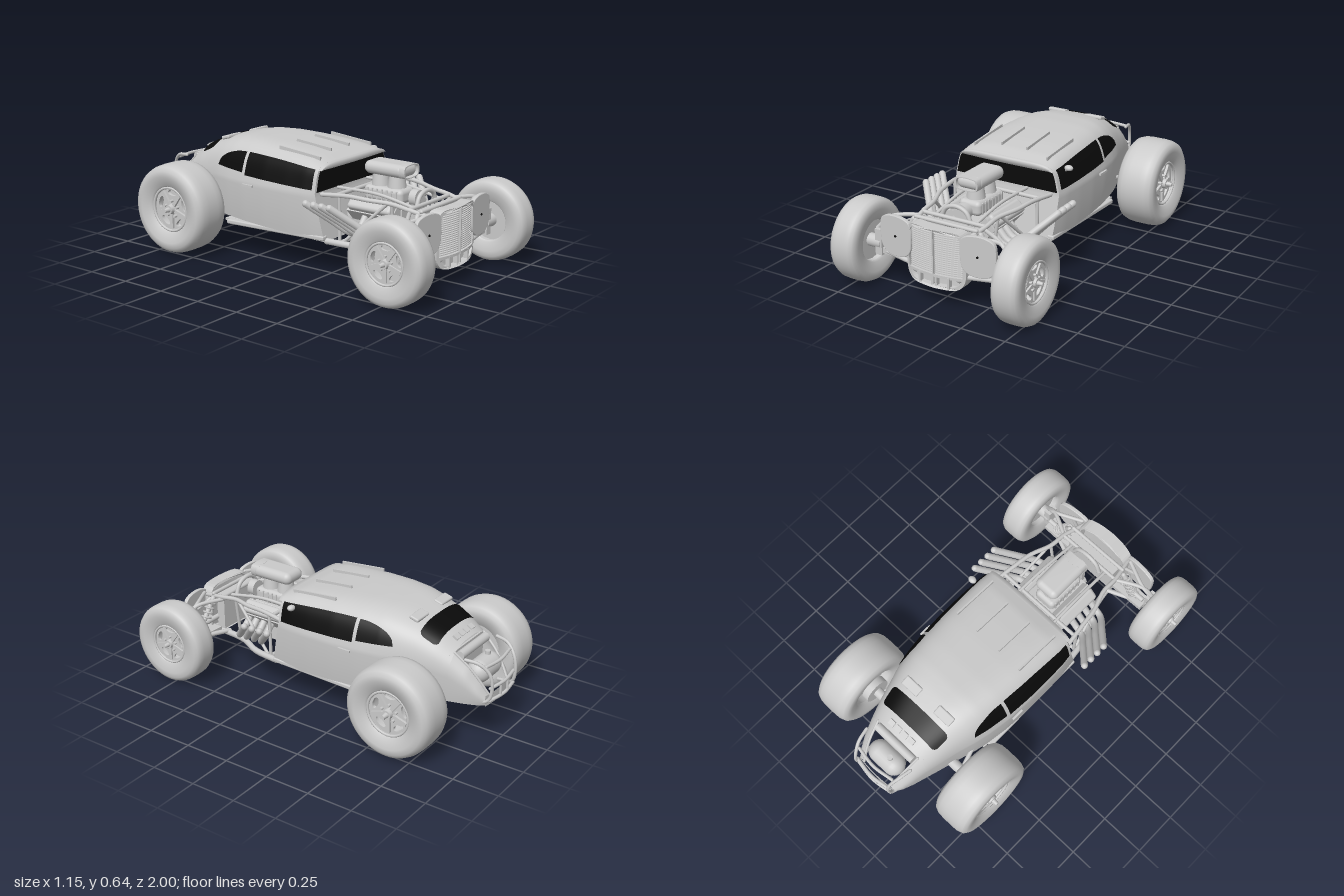
import * as THREE from 'three';
import { RoundedBoxGeometry } from 'three/addons/geometries/RoundedBoxGeometry.js';

const grey = new THREE.MeshStandardMaterial({ color: 0xcacaca, side: THREE.DoubleSide });
grey.name = 'primer grey';
const black = new THREE.MeshStandardMaterial({ color: 0x0a0a0a, side: THREE.DoubleSide });
black.name = 'glass black';

// body stations: z, half width, roof height, belt height, sill height, roundness, roof taper
const STATIONS = [
  [0.19, 0.318, 0.578, 0.43, 0.18, 6.5, 0.1], [0.12, 0.328, 0.6, 0.43, 0.184, 5.5, 0.13],
  [0, 0.334, 0.615, 0.43, 0.192, 5, 0.16], [-0.15, 0.334, 0.627, 0.43, 0.197, 4.6, 0.17],
  [-0.3, 0.325, 0.633, 0.43, 0.203, 4.2, 0.17], [-0.42, 0.308, 0.63, 0.43, 0.208, 3.8, 0.16],
  [-0.5, 0.29, 0.618, 0.43, 0.21, 3.4, 0.15], [-0.6, 0.258, 0.59, 0.42, 0.215, 3.1, 0.13],
  [-0.7, 0.23, 0.548, 0.4, 0.22, 2.8, 0.1], [-0.78, 0.205, 0.5, 0.37, 0.22, 2.6, 0.08],
  [-0.86, 0.18, 0.43, 0.32, 0.22, 2.5, 0.05], [-0.92, 0.155, 0.345, 0.27, 0.22, 2.4, 0.03],
  [-0.955, 0.13, 0.28, 0.24, 0.22, 2.4, 0],
];
function station(z) {
  let i = 0;
  while (i < STATIONS.length - 2 && z < STATIONS[i + 1][0]) i++;
  const a = STATIONS[i], b = STATIONS[i + 1];
  const k = Math.min(1, Math.max(0, (a[0] - z) / (a[0] - b[0])));
  return a.map((v, j) => v + (b[j] - v) * k);
}
// body surface: q = 0 roof centre, 0.7 belt, 1 sill; the sign gives the side
function bodyPoint(z, q) {
  const [, w, top, yb, sill, n, taper] = station(z), s = Math.sign(q), m = Math.abs(q);
  if (m > 0.7) {
    const k = (m - 0.7) / 0.3;
    return [s * w * (1 - 0.05 * k * k), yb + (sill - yb) * k, z + 0.05 * k * Math.max(0, 1 - (0.19 - z) / 0.15)];
  }
  const a = (Math.PI / 2) * (1 - m / 0.7), t = Math.max(0, Math.sin(a)) ** (2 / n);
  return [s * w * (1 - taper * t) * Math.max(0, Math.cos(a)) ** (2 / n), yb + (top - yb) * t, z];
}
function sideX(z, y) {
  const [, w, top, yb, , n, taper] = station(z), t = Math.min(1, Math.max(0, (y - yb) / (top - yb)));
  return w * (1 - taper * t) * (1 - t ** n) ** (1 / n);
}
// roof height at x, by bisection
function roofY(z, x) {
  let [, , hi, lo] = station(z);
  for (let i = 0; i < 24; i++) {
    const y = (lo + hi) / 2;
    if (sideX(z, y) > Math.abs(x)) lo = y; else hi = y;
  }
  return lo;
}
// grid surface from a function of u, v in 0..1
function surface(fn, nu, nv) {
  const pos = [], idx = [];
  for (let i = 0; i <= nu; i++) for (let j = 0; j <= nv; j++) pos.push(...fn(i / nu, j / nv));
  for (let i = 0; i < nu; i++) for (let j = 0; j < nv; j++) {
    const a = i * (nv + 1) + j, b = a + nv + 1;
    idx.push(a, a + 1, b, b, a + 1, b + 1);
  }
  const g = new THREE.BufferGeometry();
  g.setAttribute('position', new THREE.Float32BufferAttribute(pos, 3));
  g.setIndex(idx);
  g.computeVertexNormals();
  return g;
}
function add(parent, name, geo, p = [0, 0, 0], r = [0, 0, 0], mat = grey) {
  const m = new THREE.Mesh(geo, mat);
  m.name = name;
  m.position.set(...p);
  m.rotation.set(...r);
  parent.add(m);
  return m;
}
const box = (x, y, z) => new THREE.BoxGeometry(x, y, z);
const cyl = (r, h, r2 = r) => new THREE.CylinderGeometry(r, r2, h, 20);
const HALF = Math.PI / 2;
function tube(parent, name, pts, r = 0.011, s = 1) {
  const c = new THREE.CatmullRomCurve3(pts.map(p => new THREE.Vector3(p[0] * s, p[1], p[2])), false, 'centripetal');
  add(parent, name, new THREE.TubeGeometry(c, pts.length > 2 ? 24 : 1, r, 10));
  for (const p of [pts[0], pts[pts.length - 1]]) add(parent, name + 'End', new THREE.SphereGeometry(r, 10, 6), [p[0] * s, p[1], p[2]]);
}
// closed smooth outline mirrored about x = 0
function outline(half, k = 1, cy = 0) {
  const all = [...half, ...half.slice().reverse().map(([x, y]) => [-x, y])];
  const c = new THREE.CatmullRomCurve3(all.map(([x, y]) => new THREE.Vector3(x * k, cy + (y - cy) * k, 0)), true, 'centripetal');
  return c.getPoints(72).map(p => new THREE.Vector2(p.x, p.y));
}

function makeWheel(R, W, rim) {
  const g = new THREE.Group(), h = W / 2, mid = (R + rim) / 2;
  const prof = [[rim, -h * 0.7], [rim * 1.08, -h * 0.84], [mid, -h], [R * 0.87, -h * 0.97], [R * 0.95, -h * 0.84], [R * 0.99, -h * 0.6],
    [R, -h * 0.3], [R, h * 0.3], [R * 0.99, h * 0.6], [R * 0.95, h * 0.84], [R * 0.87, h * 0.97], [mid, h], [rim * 1.08, h * 0.84], [rim, h * 0.7]];
  const rot = [0, 0, -HALF];
  add(g, 'tyre', new THREE.LatheGeometry(prof.map(p => new THREE.Vector2(...p)), 56), [0, 0, 0], rot);
  add(g, 'rimBarrel', new THREE.CylinderGeometry(rim, rim, W * 0.7, 48, 1, true), [0, 0, 0], rot);
  add(g, 'rimLip', new THREE.TorusGeometry(rim * 0.97, rim * 0.06, 10, 48), [h * 0.72, 0, 0], [0, HALF, 0]);
  // slotted disc with five raised spokes
  const disc = new THREE.Shape().absarc(0, 0, rim, 0, Math.PI * 2);
  for (let i = 0; i < 5; i++) {
    const a = (i * 2 * Math.PI) / 5 + HALF, b = a + Math.PI / 5, e = new THREE.Path();
    e.absellipse(Math.cos(a) * rim * 0.72, Math.sin(a) * rim * 0.72, rim * 0.13, rim * 0.27, 0, Math.PI * 2, false, a);
    disc.holes.push(e);
    add(g, 'spoke', box(W * 0.1, rim * 0.75, rim * 0.16), [h * 0.58, Math.sin(b) * rim * 0.5, -Math.cos(b) * rim * 0.5], [b - HALF, 0, 0]);
    add(g, 'wheelNut', cyl(rim * 0.06, W * 0.14), [h * 0.6, Math.sin(a) * rim * 0.36, -Math.cos(a) * rim * 0.36], rot);
  }
  add(g, 'rimDisc', new THREE.ExtrudeGeometry(disc, { depth: W * 0.08, bevelEnabled: false, curveSegments: 20 }), [h * 0.4, 0, 0], [0, HALF, 0]);
  add(g, 'rimBack', cyl(rim, 0.01), [-h * 0.3, 0, 0], rot);
  add(g, 'hub', cyl(rim * 0.2, h * 0.7, rim * 0.28), [h * 0.5, 0, 0], rot);
  add(g, 'hubCap', cyl(rim * 0.08, 0.05, rim * 0.14), [h * 0.85 + 0.005, 0, 0], rot);
  return g;
}

function makeBody(car) {
  const g = new THREE.Group();
  g.name = 'body';
  car.add(g);
  add(g, 'shell', surface((u, v) => bodyPoint(0.19 - 0.97 * u, v * 2 - 1), 40, 60));
  add(g, 'cowl', surface((u, v) => { const p = bodyPoint(0.19, u); return [p[0] * (1 - 2 * v), p[1], p[2]]; }, 40, 4));
  add(g, 'windscreen', surface((u, v) => {
    const y = 0.435 + 0.115 * u;
    return [(sideX(0.19, y) - 0.008) * (1 - 2 * v), y, 0.195];
  }, 8, 8), [0, 0, 0], [0, 0, 0], black);
  // visor over the windscreen
  add(g, 'visor', surface((u, v) => {
    const x = (v * 2 - 1) * 0.283, y = roofY(0.19, x);
    return [x, u < 0.5 ? y : Math.min(y, 0.548), u === 0 || u === 1 ? 0.185 : 0.217 - 0.1 * x * x];
  }, 3, 30));
  add(g, 'floor', box(0.58, 0.012, 0.68), [0, 0.193, -0.11], [-0.03, 0, 0]);
  add(g, 'rearBulkhead', box(0.5, 0.3, 0.01), [0, 0.35, -0.45]);
  add(g, 'engineBayWall', box(0.34, 0.25, 0.01), [0, 0.34, -0.76]);
  add(g, 'tailPan', surface((u, v) => [0.13 * (2 * u - 1), 0.215 + 0.06 * v, -0.965 + 0.6 * (0.13 * (2 * u - 1)) ** 2], 8, 1));
  add(g, 'rearWindow', surface((u, v) => {
    const z = -0.603 - 0.1 * u, x = (v * 2 - 1) * (0.2 - 0.012 * u - 0.015 * (2 * u - 1) ** 6);
    return [x, roofY(z, x) + 0.004, z];
  }, 12, 24), [0, 0, 0], [0, 0, 0], black);
  add(g, 'mirrorArm', cyl(0.006, 0.06), [0.305, 0.53, 0.1], [0, 0, -1]);
  add(g, 'wingMirror', new THREE.SphereGeometry(0.024, 16, 12), [0.322, 0.545, 0.1]).scale.set(1, 0.65, 0.8);
  for (let i = 0; i < 4; i++) add(g, 'deckVent', box(0.035, 0.012, 0.03), [-0.07 + i * 0.047, roofY(-0.745, 0.05) + 0.001, -0.745], [-0.55, 0, 0]);
  for (const s of [1, -1]) {
    add(g, 'tailWing', surface((u, v) => bodyPoint(-0.78 - 0.175 * u, s * (0.34 + 0.66 * v)), 14, 24));
    tube(g, 'tailLip', [0, 0.25, 0.5, 0.75, 1].map(u => bodyPoint(-0.78 - 0.175 * u, 0.34)), 0.007, s);
    const glass = (name, z0, z1, lo, hi) => add(g, name, surface((u, v) => {
      const z = z0 + (z1 - z0) * u, y = lo(u) + (hi(u) - lo(u)) * v;
      return [s * (sideX(z, y) + 0.004), y, z];
    }, 24, 8), [0, 0, 0], [0, 0, 0], black);
    glass('doorWindow', 0.172, -0.28, u => 0.447 + 0.012 * u, u => 0.55 + 0.026 * Math.sin(u * HALF));
    glass('quarterWindow', -0.3, -0.5, u => 0.47 + 0.01 * u, u => 0.482 + 0.093 * Math.sqrt(1 - u * u));
    add(g, 'doorHandle', box(0.012, 0.012, 0.07), [s * 0.34, 0.41, -0.245]);
    add(g, 'sill', new RoundedBoxGeometry(0.04, 0.025, 0.66, 2, 0.008), [s * 0.295, 0.188, -0.09], [-0.03, 0, 0]);
    for (const [x, z, l] of [[0.078, 0, 0.23], [0.222, 0.02, 0.27]])
      add(g, 'roofRib', box(0.01, 0.02, l), [s * x, roofY(z, x) + 0.003, z], [0.09, 0, 0]);
    add(g, 'roofLouvre', new RoundedBoxGeometry(0.11, 0.02, 0.055, 2, 0.008), [s * 0.115, roofY(-0.55, 0.115) + 0.003, -0.55], [-0.28, 0, 0]);
    tube(g, 'rearBumperHoop', [[0.16, 0.46, -0.85], [0.145, 0.45, -0.92], [0.125, 0.4, -0.97], [0.12, 0.32, -0.985], [0.125, 0.25, -0.965], [0.14, 0.23, -0.88]], 0.009, s);
    tube(g, 'bumperTie', [[0.035, 0.32, -0.988], [0.035, 0.25, -0.988]], 0.007, s);
  }
  for (const [y, z] of [[0.43, -0.945], [0.32, -0.975], [0.25, -0.975]]) tube(g, 'rearBumperBar', [[-0.12, y, z], [0, y, z - 0.016], [0.12, y, z]], 0.009);
  add(g, 'fuelTank', new THREE.CapsuleGeometry(0.062, 0.1, 8, 24), [0, 0.36, -0.87], [0, 0, HALF]);
  add(g, 'tankCap', cyl(0.015, 0.03), [-0.03, 0.425, -0.87]);
  add(g, 'rearPipe', cyl(0.024, 0.26), [0, 0.455, -0.8], [0, 0, HALF]);
}

function makeEngine(car) {
  const g = new THREE.Group();
  g.name = 'engine';
  car.add(g);
  add(g, 'block', box(0.17, 0.17, 0.3), [0, 0.27, 0.42]);
  add(g, 'sump', box(0.12, 0.05, 0.24), [0, 0.185, 0.42]);
  add(g, 'gearbox', cyl(0.06, 0.16, 0.09), [0, 0.26, 0.24], [HALF, 0, 0]);
  add(g, 'blower', new RoundedBoxGeometry(0.13, 0.08, 0.24, 3, 0.025), [0, 0.41, 0.43]);
  for (let i = 0; i < 7; i++) add(g, 'blowerFin', box(0.136, 0.06, 0.008), [0, 0.41, 0.34 + i * 0.03]);
  for (const z of [0.38, 0.48]) add(g, 'carburettor', cyl(0.04, 0.07, 0.05), [0, 0.48, z]);
  add(g, 'scoop', new RoundedBoxGeometry(0.145, 0.07, 0.25, 6, 0.034), [0, 0.545, 0.435]);
  const ring = [[0.03, 0.035], [0.06, 0.028], [0.07, 0], [0.06, -0.028], [0.03, -0.035]];
  const mouth = new THREE.Shape(outline(ring));
  mouth.holes.push(new THREE.Path(outline(ring, 0.86)));
  add(g, 'scoopMouth', new THREE.ExtrudeGeometry(mouth, { depth: 0.05, bevelEnabled: false }), [0, 0.545, 0.52]);
  for (const [y, r] of [[0.41, 0.045], [0.24, 0.05]]) add(g, 'pulley', cyl(r, 0.04), [0, y, 0.6], [HALF, 0, 0]);
  add(g, 'driveBelt', box(0.07, 0.17, 0.025), [0, 0.325, 0.6]);
  for (const s of [1, -1]) {
    add(g, 'cylinderHead', box(0.09, 0.08, 0.28), [s * 0.105, 0.33, 0.42], [0, 0, -s * 0.75]);
    add(g, 'valveCover', new RoundedBoxGeometry(0.075, 0.05, 0.27, 3, 0.018), [s * 0.14, 0.365, 0.42], [0, 0, -s * 0.75]);
    for (let i = 0; i < 4; i++) {
      const z = 0.38 + i * 0.05;
      tube(g, 'exhaustPipe', [[0.13, 0.31, z], [0.19, 0.25, z], [0.24, 0.24, z - 0.01], [0.32, 0.315, z - 0.09], [0.405, 0.4, z - 0.18]], 0.019, s);
    }
  }
}

function makeChassis(car) {
  const g = new THREE.Group();
  g.name = 'chassis';
  car.add(g);
  const across = (x, y, z, r) => tube(g, 'crossTube', [[-x, y, z], [x, y, z]], r);
  across(0.26, 0.425, 0.28); across(0.19, 0.4, 0.68); across(0.18, 0.4, 0.75); across(0.26, 0.175, 0.3); across(0.15, 0.17, 0.58); across(0.13, 0.16, 0.8);
  tube(g, 'frontHoop', [[-0.09, 0.38, 0.66], [-0.06, 0.44, 0.66], [0, 0.46, 0.66], [0.06, 0.44, 0.66], [0.09, 0.38, 0.66]], 0.012);
  add(g, 'radiator', box(0.32, 0.2, 0.05), [0, 0.29, 0.72]);
  add(g, 'steeringRack', cyl(0.014, 0.7), [0, 0.25, 0.75], [0, 0, HALF]);
  add(g, 'rearAxle', cyl(0.028, 0.8), [0, 0.255, -0.635], [0, 0, HALF]);
  add(g, 'differential', new THREE.SphereGeometry(0.08, 20, 14), [0, 0.255, -0.635]);
  for (const s of [1, -1]) {
    tube(g, 'upperRail', [[0.27, 0.42, 0.2], [0.25, 0.43, 0.35], [0.235, 0.425, 0.46], [0.195, 0.415, 0.58], [0.19, 0.4, 0.68], [0.16, 0.37, 0.82]], 0.012, s);
    tube(g, 'innerRail', [[0.13, 0.43, 0.2], [0.125, 0.43, 0.45], [0.12, 0.39, 0.68]], 0.009, s);
    tube(g, 'lowerRail', [[0.28, 0.18, 0.24], [0.25, 0.175, 0.4], [0.17, 0.17, 0.56], [0.13, 0.16, 0.83]], 0.017, s);
    for (const [a, b] of [[[0.25, 0.175, 0.3], [0.255, 0.42, 0.3]], [[0.16, 0.17, 0.58], [0.195, 0.415, 0.58]], [[0.25, 0.18, 0.32], [0.2, 0.415, 0.56]]])
      tube(g, 'braceTube', [a, b], 0.009, s);
    for (const z of [0.68, 0.82]) {
      tube(g, 'upperArm', [[0.18, 0.385, z], [0.33, 0.37, 0.76], [0.4, 0.3, 0.78]], 0.011, s);
      tube(g, 'lowerArm', [[0.14, 0.175, z], [0.39, 0.19, 0.78]], 0.013, s);
    }
    add(g, 'armPlate', box(0.2, 0.03, 0.08), [s * 0.26, 0.185, 0.76], [0, 0, s * 0.05]);
    tube(g, 'shock', [[0.2, 0.38, 0.74], [0.31, 0.2, 0.76]], 0.014, s);
    for (let i = 0; i < 6; i++) add(g, 'shockCoil', new THREE.TorusGeometry(0.024, 0.006, 6, 18), [s * (0.215 + i * 0.014), 0.355 - i * 0.023, 0.745], [HALF, s * 0.5, 0]);
    add(g, 'steeringKnuckle', box(0.04, 0.14, 0.06), [s * 0.378, 0.235, 0.78]);
    add(g, 'frontStub', cyl(0.035, 0.1), [s * 0.42, 0.225, 0.78], [0, 0, HALF]);
    add(g, 'rearBrake', cyl(0.075, 0.04), [s * 0.345, 0.255, -0.635], [0, 0, HALF]);
    tube(g, 'rearLink', [[0.24, 0.3, -0.42], [0.3, 0.255, -0.62]], 0.012, s);
  }
}

function makeNose(car) {
  const g = new THREE.Group();
  g.name = 'nose';
  car.add(g);
  const half = [[0.03, 0.412], [0.145, 0.406], [0.166, 0.37], [0.168, 0.28], [0.176, 0.22], [0.168, 0.15], [0.135, 0.112], [0.04, 0.102]];
  const bend = geo => {
    const p = geo.attributes.position;
    for (let i = 0; i < p.count; i++) p.setZ(i, p.getZ(i) - p.getX(i) ** 2);
    geo.computeVertexNormals();
    return geo;
  };
  const frame = new THREE.Shape(outline(half));
  frame.holes.push(new THREE.Path(outline(half, 0.91, 0.26)));
  add(g, 'grilleShell', bend(new THREE.ExtrudeGeometry(frame, { depth: 0.065, bevelEnabled: false })), [0, 0, 0.805]);
  add(g, 'grilleBacking', bend(new THREE.ShapeGeometry(new THREE.Shape(outline(half, 0.93, 0.26)))), [0, 0, 0.843]);
  for (let i = 0; i < 20; i++) add(g, 'grilleSlat', bend(new THREE.BoxGeometry(0.31, 0.005, 0.018, 10, 1, 1)), [0, 0.182 + i * 0.0108, 0.852]);
  add(g, 'grilleCentreBar', box(0.008, 0.28, 0.03), [0, 0.265, 0.857]);
  add(g, 'grilleLowerBar', bend(new THREE.BoxGeometry(0.315, 0.014, 0.03, 10, 1, 1)), [0, 0.168, 0.854]);
  for (const s of [1, -1]) {
    for (const x of [0.012, 0.085]) add(g, 'grilleLowerDivider', box(0.012, 0.06, 0.025), [s * x, 0.14, 0.852]);
    // thin rounded lamp plates
    const lamp = outline([[0.045, 0.1], [0.088, 0.078], [0.096, 0], [0.084, -0.07], [0.045, -0.1]]);
    const plate = add(g, 'lampPlate', new THREE.ExtrudeGeometry(new THREE.Shape(lamp), { depth: 0.014, bevelEnabled: true, bevelSize: 0.004, bevelThickness: 0.004, bevelSegments: 2 }), [s * 0.243, 0.31, 0.822], [0, s * 0.08, 0]);
    add(plate, 'lampDot', cyl(0.006, 0.004), [0, 0, 0.02], [HALF, 0, 0], black);
    tube(g, 'lampBracket', [[0.17, 0.36, 0.78], [0.24, 0.31, 0.82]], 0.01, s);
  }
}

export function createModel() {
  const car = new THREE.Group();
  car.name = 'hotRod';
  makeBody(car);
  makeEngine(car);
  makeChassis(car);
  makeNose(car);
  for (const s of [1, -1]) for (const [name, R, W, rim, x, y, z] of [['frontWheel', 0.222, 0.155, 0.108, 0.478, 0.225, 0.776], ['rearWheel', 0.245, 0.225, 0.122, 0.443, 0.255, -0.635]]) {
    const w = makeWheel(R, W, rim);
    w.name = name;
    w.position.set(s * x, y, z);
    if (s < 0) w.rotation.y = Math.PI;
    car.add(w);
  }
  return car;
}
